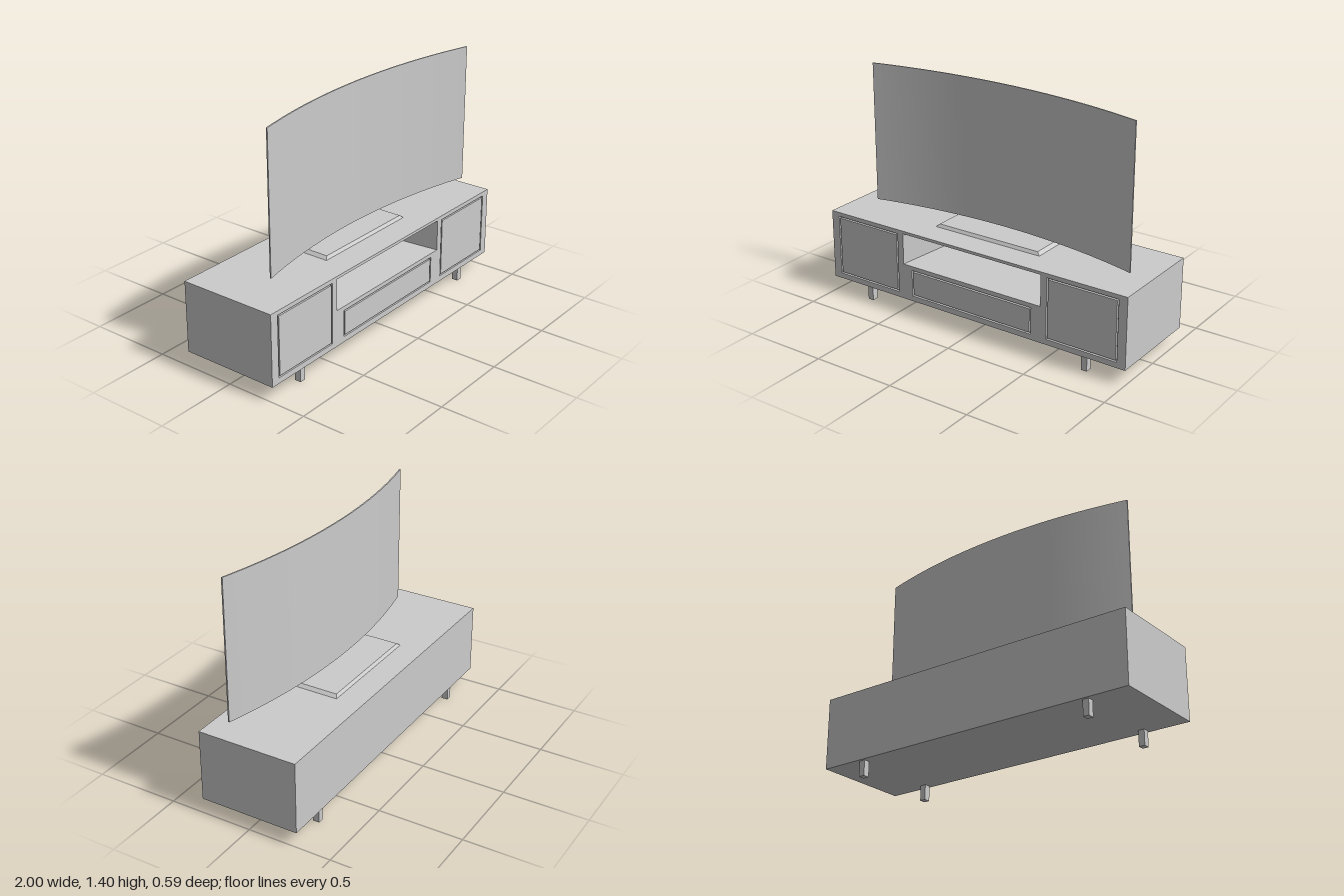
import * as THREE from 'three';
import { toCreasedNormals } from 'three/addons/utils/BufferGeometryUtils.js';

const material = new THREE.MeshStandardMaterial({ color: 0xcccccc });

function rectPath(x0, x1, y0, y1, Type = THREE.Path) {
  return new Type([[x0, y0], [x1, y0], [x1, y1], [x0, y1]].map(p => new THREE.Vector2(...p)));
}

function extrude(shape, depth) {
  return new THREE.ExtrudeGeometry(shape, { depth, bevelEnabled: false });
}

function add(parent, name, geometry, x = 0, y = 0, z = 0) {
  const mesh = new THREE.Mesh(geometry, material);
  mesh.name = name;
  mesh.position.set(x, y, z);
  parent.add(mesh);
  return mesh;
}

// Open box that narrows towards the back, seen from inside
function nicheGeometry(front, back, depth) {
  const box = new THREE.BoxGeometry(1, 1, depth);
  const pos = box.attributes.position;
  for (let i = 0; i < pos.count; i++) {
    const r = pos.getZ(i) > 0 ? front : back;
    pos.setX(i, pos.getX(i) > 0 ? r[1] : r[0]);
    pos.setY(i, pos.getY(i) > 0 ? r[3] : r[2]);
  }
  // drop the front face and turn the others inwards
  const index = Array.from(box.index.array).filter((_, i) => i < 24 || i >= 30);
  box.setIndex(index.reverse());
  const g = box.toNonIndexed();
  g.computeVertexNormals();
  return g;
}

export function createModel() {
  const model = new THREE.Group();
  model.name = 'televisionAndCabinet';

  // Cabinet: carcass, back and front frame
  const cabinet = new THREE.Group();
  cabinet.name = 'cabinet';
  model.add(cabinet);
  const F = 0.297, GROOVE = 0.009, FRAME = 0.015, DEPTH = 0.36;
  const nicheFront = [-0.468, 0.468, 0.308, 0.495];
  const nicheBack = [-0.405, 0.405, 0.325, 0.483];
  const panels = {
    rightDoor: [-0.948, -0.507, 0.123, 0.487],
    leftDoor: [0.507, 0.948, 0.123, 0.487],
    drawer: [-0.408, 0.408, 0.123, 0.283],
  };

  const carcass = rectPath(-1, 1, 0.09, 0.512, THREE.Shape);
  carcass.holes.push(rectPath(...nicheFront));
  add(cabinet, 'carcass', extrude(carcass, DEPTH - FRAME), 0, 0, F - DEPTH);
  add(cabinet, 'cabinetBack', new THREE.BoxGeometry(2, 0.422, 2 * F - DEPTH), 0, 0.301, -DEPTH / 2);

  const frame = rectPath(-1, 1, 0.09, 0.512, THREE.Shape);
  frame.holes.push(rectPath(...nicheFront));
  for (const r of Object.values(panels)) frame.holes.push(rectPath(...r));
  add(cabinet, 'frontFrame', extrude(frame, FRAME), 0, 0, F - FRAME);

  // Doors and drawer, each set in a narrow groove
  for (const [name, [x0, x1, y0, y1]] of Object.entries(panels)) {
    const panel = rectPath(x0 + GROOVE, x1 - GROOVE, y0 + GROOVE, y1 - GROOVE, THREE.Shape);
    add(cabinet, name, extrude(panel, FRAME), 0, 0, F - FRAME);
  }

  // Open shelf niche
  add(cabinet, 'niche', nicheGeometry(nicheFront, nicheBack, DEPTH - 0.002), 0, 0, F - DEPTH / 2 + 0.001);

  // Legs
  for (const x of [-0.74, 0.74]) {
    for (const z of [-0.262, 0.262]) {
      add(cabinet, 'leg', new THREE.BoxGeometry(0.036, 0.09, 0.038), x, 0.045, z);
    }
  }

  // Stand base: a thin slab with sloping edges
  const slab = new THREE.BoxGeometry(0.71, 0.018, 0.28);
  const pos = slab.attributes.position;
  for (let i = 0; i < pos.count; i++) {
    if (pos.getY(i) > 0) {
      pos.setX(i, Math.sign(pos.getX(i)) * 0.335);
      pos.setZ(i, Math.sign(pos.getZ(i)) * 0.127);
    }
  }
  slab.computeVertexNormals();
  add(model, 'standBase', slab, -0.002, 0.52, -0.004);

  // Curved screen: thin arc in plan, raised to full height
  const R = 3.5, T = 0.008, SEGMENTS = 32, X0 = -0.795, X1 = 0.928;
  const outer = [], inner = [];
  for (let i = 0; i <= SEGMENTS; i++) {
    const x = X0 + (X1 - X0) * i / SEGMENTS;
    const z = 0.029 + R - Math.sqrt(R * R - x * x);
    inner.push(new THREE.Vector2(x, -z - T / 2));
    outer.unshift(new THREE.Vector2(x, -z + T / 2));
  }
  const screen = extrude(new THREE.Shape([...inner, ...outer]), 0.826);
  screen.rotateX(-Math.PI / 2);
  add(model, 'screen', toCreasedNormals(screen, 0.5), 0, 0.576, 0);

  return model;
}
